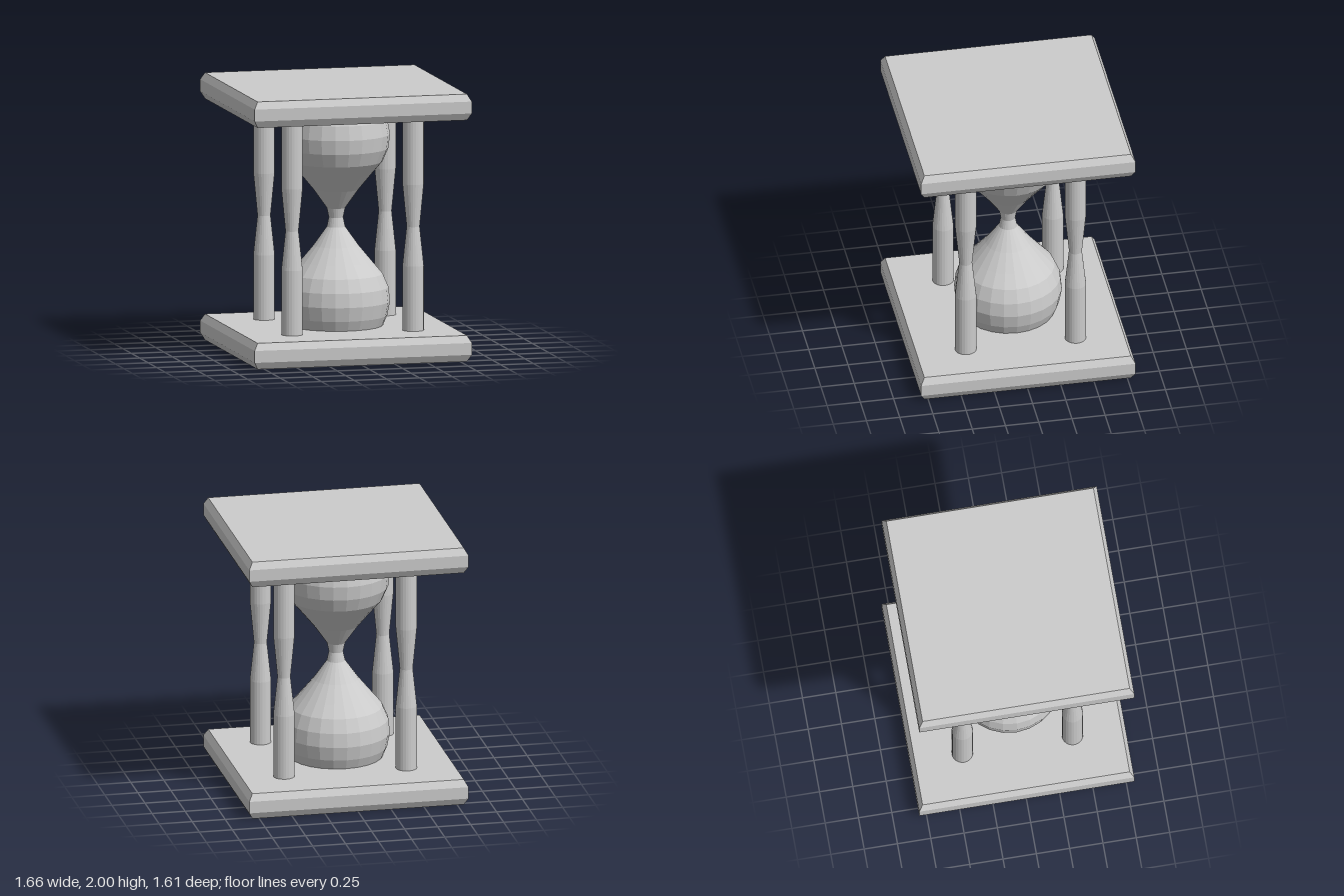
import * as THREE from 'three';

const material = new THREE.MeshStandardMaterial({ color: 0xcccccc, flatShading: true });

function addMesh(parent, name, geometry, x = 0, y = 0, z = 0) {
  const mesh = new THREE.Mesh(geometry, material);
  mesh.name = name;
  mesh.position.set(x, y, z);
  parent.add(mesh);
  return mesh;
}

const lathe = (points, sides) =>
  new THREE.LatheGeometry(points.map(([r, y]) => new THREE.Vector2(r, y)), sides);

// Rectangular slab with chamfered upper and lower rims, standing on y = 0
function plateGeometry(width, depth, height, inset, chamfer) {
  const geometry = new THREE.BoxGeometry(width, height, depth, 1, 3, 1);
  geometry.translate(0, height / 2, 0);
  const p = geometry.attributes.position;
  const levels = [0, chamfer, height - chamfer, height];
  for (let i = 0; i < p.count; i++) {
    const row = Math.round((p.getY(i) / height) * 3);
    const rim = row === 0 || row === 3 ? inset : 0;
    p.setX(i, p.getX(i) - Math.sign(p.getX(i)) * rim);
    p.setY(i, levels[row]);
    p.setZ(i, p.getZ(i) - Math.sign(p.getZ(i)) * rim);
  }
  geometry.computeVertexNormals();
  return geometry;
}

export function createModel() {
  const model = new THREE.Group();
  model.name = 'hourglass';

  // Base and top plates
  const plate = plateGeometry(1.66, 1.614, 0.195, 0.03, 0.053);
  addMesh(model, 'basePlate', plate);
  addMesh(model, 'topPlate', plate, 0, 1.805, 0);

  // Four pillars, narrowed at the waist
  const pillar = lathe([
    [0, 0.18], [0.079, 0.18], [0.079, 0.68], [0.048, 0.97],
    [0.079, 1.29], [0.079, 1.82], [0, 1.82],
  ], 24);
  for (const x of [-0.442, 0.484]) {
    for (const z of [-0.418, 0.408]) addMesh(model, 'pillar', pillar, x, 0, z);
  }

  // Glass: one bulb profile mirrored about the neck
  const bulb = [
    [0, 0.15], [0.33, 0.15], [0.38, 0.27], [0.4, 0.375], [0.388, 0.48],
    [0.345, 0.58], [0.268, 0.67], [0.168, 0.79], [0.068, 0.93],
  ];
  const upper = bulb.map(([r, y]) => [r, 2 - y]).reverse();
  addMesh(model, 'glassBulbs', lathe([...bulb, [0.053, 1], ...upper], 24));

  return model;
}
